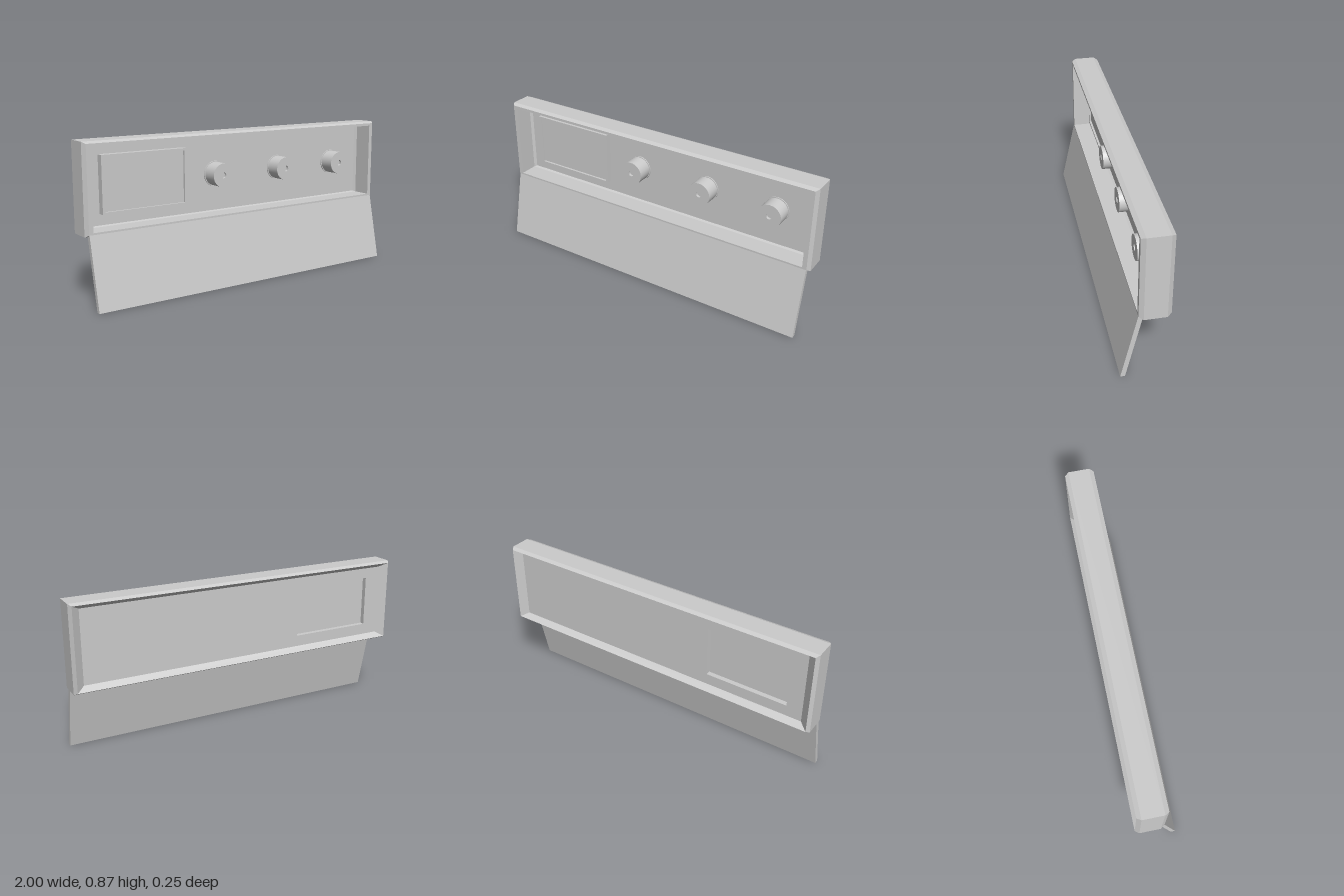
import * as THREE from 'three';
import { toCreasedNormals } from 'three/addons/utils/BufferGeometryUtils.js';

const flat = new THREE.MeshStandardMaterial({ color: 0xcccccc, flatShading: true });
const smooth = new THREE.MeshStandardMaterial({ color: 0xcccccc });

function add(parent, name, geometry, material = flat) {
  const mesh = new THREE.Mesh(geometry, material);
  mesh.name = name;
  parent.add(mesh);
  return mesh;
}

function trace(path, [x0, y0, x1, y1]) {
  path.moveTo(x0, y0).lineTo(x1, y0).lineTo(x1, y1).lineTo(x0, y1).closePath();
  return path;
}

// Flat plate between two z values, with an optional rectangular hole
function plate(outer, hole, zBack, zFront) {
  const shape = trace(new THREE.Shape(), outer);
  if (hole) shape.holes.push(trace(new THREE.Path(), hole));
  const geo = new THREE.ExtrudeGeometry(shape, { depth: zFront - zBack, bevelEnabled: false });
  return geo.translate(0, 0, zBack);
}

// Skin through rectangular rings [halfWidth, bottom, top, z]
function rectLoft(rings) {
  const positions = [];
  const index = [];
  for (const [w, b, t, z] of rings) positions.push(-w, b, z, w, b, z, w, t, z, -w, t, z);
  for (let i = 0; i < rings.length - 1; i++) {
    for (let k = 0; k < 4; k++) {
      const a = i * 4 + k, n = i * 4 + (k + 1) % 4;
      index.push(a, a + 4, n, n, a + 4, n + 4);
    }
  }
  const geo = new THREE.BufferGeometry();
  geo.setAttribute('position', new THREE.Float32BufferAttribute(positions, 3));
  geo.setIndex(index);
  const out = geo.toNonIndexed();
  out.computeVertexNormals();
  return out;
}

export function createModel() {
  const model = new THREE.Group();
  model.name = 'controlPanel';

  // Chamfered housing, from the front recess around the outside to the back recess
  add(model, 'housing', rectLoft([
    [0.949, 0.405, 0.835, -0.085],
    [0.96, 0.40, 0.84, -0.07],
    [0.96, 0.40, 0.84, 0.04],
    [0.985, 0.39, 0.855, 0.04],
    [1, 0.378, 0.865, 0.017],
    [1, 0.378, 0.865, -0.102],
    [0.985, 0.39, 0.855, -0.125],
    [0.94, 0.415, 0.83, -0.09],
  ]));

  // Recessed face with the window cut through it
  const frameOuter = [-0.865, 0.467, -0.352, 0.782];
  const frameInner = [-0.85, 0.479, -0.365, 0.77];
  add(model, 'facePlate', plate([-0.949, 0.405, 0.949, 0.835], frameOuter, -0.09, -0.085));
  add(model, 'windowFrame', plate(frameOuter, frameInner, -0.09, -0.045));
  add(model, 'windowScreen', plate(frameInner, null, -0.062, -0.058));

  // Knobs with a base flange and a dimple in the face
  const profile = [
    [0.073, 0], [0.073, 0.008], [0.068, 0.008], [0.068, 0.095],
    [0.017, 0.095], [0.017, 0.08], [0, 0.08],
  ].map(([r, h]) => new THREE.Vector2(r, h));
  const knobGeo = toCreasedNormals(new THREE.LatheGeometry(profile, 32).rotateX(Math.PI / 2), 0.6);
  for (const x of [-0.14, 0.31, 0.737]) {
    add(model, 'knob', knobGeo, smooth).position.set(x, 0.617, -0.087);
  }

  // Slanted apron below the housing, profile drawn in z and y
  const side = new THREE.Shape([[0.125, 0], [0.04, 0.39], [0.017, 0.38], [0.10, 0]]
    .map(([z, y]) => new THREE.Vector2(z, y)));
  const apron = new THREE.ExtrudeGeometry(side, { depth: 1.966, bevelEnabled: false });
  add(model, 'apron', apron.rotateY(-Math.PI / 2).translate(0.983, 0, 0));

  return model;
}
